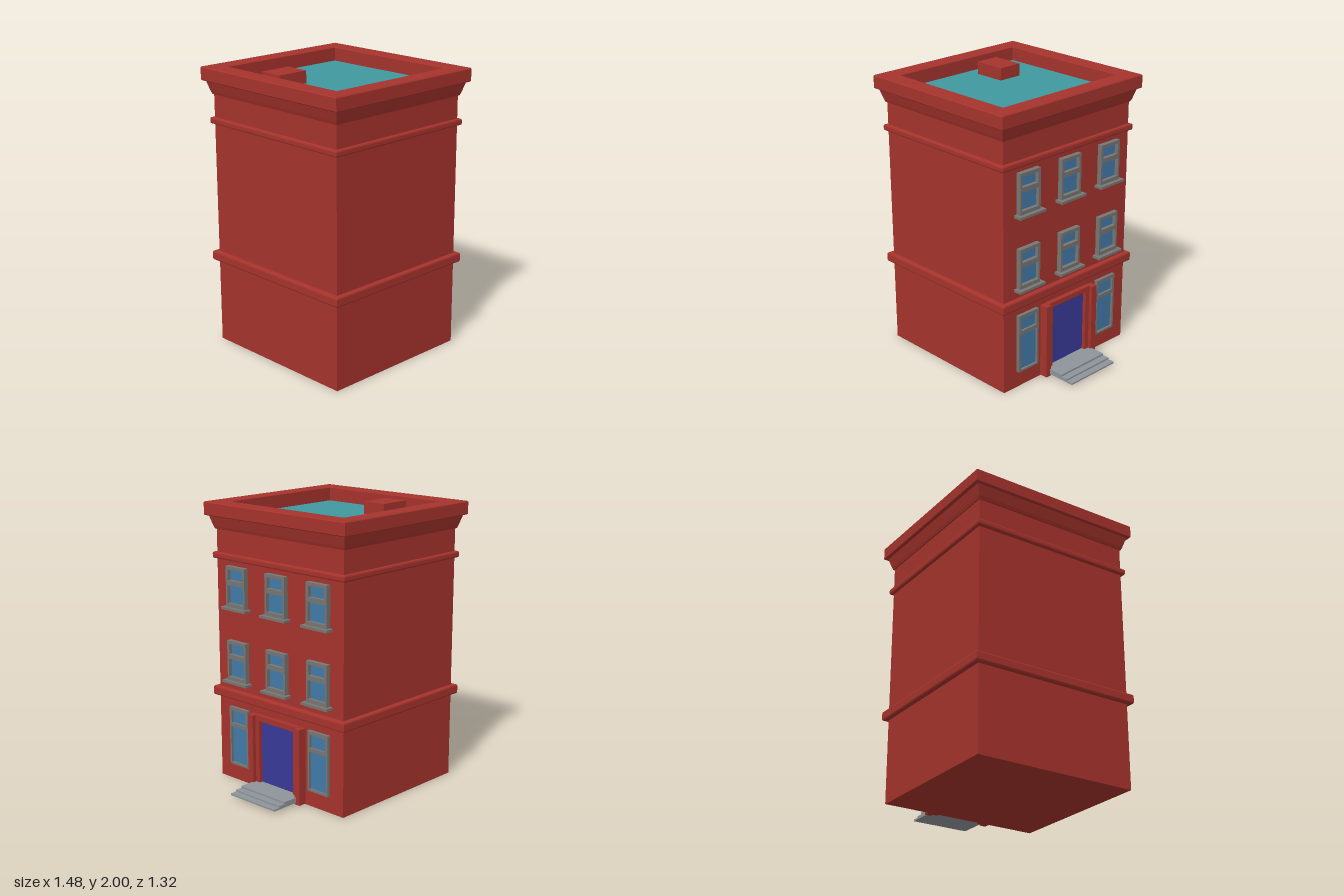
import * as THREE from 'three';

const CX = -0.1125; // centre of the tower in x
const HX = 0.5725, HZ = 0.597; // half sizes of the tower
const WALL = CX + HX; // x of the entrance wall

export function createModel() {
  const model = new THREE.Group();
  model.name = 'building';
  const mat = (name, color) => {
    const m = new THREE.MeshStandardMaterial({ color });
    m.name = name;
    return m;
  };
  const brick = mat('brick red', 0xa6332c);
  const teal = mat('roof teal', 0x40999f);
  const stone = mat('window stone', 0x787672);
  const glass = mat('window blue', 0x437aa8);
  const paint = mat('door blue', 0x383a98);
  const concrete = mat('step grey', 0x8f949b);

  const add = (parent, name, geometry, material) => {
    const m = new THREE.Mesh(geometry, material);
    m.name = name;
    parent.add(m);
    return m;
  };
  // Box given by its limits on each axis
  const box = (parent, name, material, x0, x1, y0, y1, z0, z1) => {
    const m = add(parent, name, new THREE.BoxGeometry(x1 - x0, y1 - y0, z1 - z0), material);
    m.position.set((x0 + x1) / 2, (y0 + y1) / 2, (z0 + z1) / 2);
    return m;
  };
  // Rectangular moulding: each profile point is [offset from wall, height]
  const moulding = (name, profile) => {
    const corners = [[1, 1], [1, -1], [-1, -1], [-1, 1]];
    const at = ([o, y], k) => {
      const [sx, sz] = corners[k % 4];
      return [CX + sx * (HX + o), y, sz * (HZ + o)];
    };
    const pos = [];
    for (let i = 0; i < profile.length - 1; i++) {
      for (let k = 0; k < 4; k++) {
        const a = at(profile[i], k), b = at(profile[i], k + 1);
        const c = at(profile[i + 1], k + 1), d = at(profile[i + 1], k);
        pos.push(...a, ...b, ...c, ...a, ...c, ...d);
      }
    }
    const g = new THREE.BufferGeometry();
    g.setAttribute('position', new THREE.Float32BufferAttribute(pos, 3));
    g.computeVertexNormals();
    return add(model, name, g, brick);
  };
  // String course with eased edges
  const course = (name, y0, y1, out) => {
    const e = 0.012;
    moulding(name, [[-0.01, y0], [out - e, y0], [out - e * 0.3, y0 + e * 0.3], [out, y0 + e],
      [out, y1 - e], [out - e * 0.3, y1 - e * 0.3], [out - e, y1], [-0.01, y1]]);
  };

  // Tower, string courses and flared cornice with sunken roof
  box(model, 'walls', brick, CX - HX, WALL, 0, 1.88, -HZ, HZ);
  course('lowerCourse', 0.608, 0.678, 0.034);
  course('upperCourse', 1.603, 1.65, 0.023);
  moulding('cornice', [[-0.01, 1.81], [0.008, 1.81], [0.016, 1.83], [0.038, 1.905],
    [0.056, 1.905], [0.061, 1.91], [0.061, 1.993], [0.055, 2], [-0.062, 2], [-0.067, 1.995], [-0.067, 1.89]]);
  box(model, 'roof', teal, CX - 0.507, CX + 0.507, 1.885, 1.9, -0.56, 0.56);
  box(model, 'roofBlock', brick, -0.527, -0.29, 1.89, 1.988, -0.28, -0.1);

  // Rectangle path in wall coordinates
  const rect = (path, x0, x1, y0, y1) => {
    path.moveTo(x0, y0);
    path.lineTo(x1, y0);
    path.lineTo(x1, y1);
    path.lineTo(x0, y1);
    path.closePath();
    return path;
  };
  // Sash window with two panes; heights are sill, lower pane, upper pane, head
  const addWindow = (z, [y0, a, b, c, d, y1], depth, sill) => {
    const win = new THREE.Group();
    win.name = 'window';
    const shape = rect(new THREE.Shape(), -0.093, 0.093, y0, y1);
    shape.holes.push(rect(new THREE.Path(), -0.078, 0.078, a, b));
    shape.holes.push(rect(new THREE.Path(), -0.072, 0.072, c, d));
    const frame = add(win, 'windowFrame',
      new THREE.ExtrudeGeometry(shape, { depth, bevelEnabled: false }), stone);
    frame.rotation.y = Math.PI / 2;
    frame.position.x = WALL;
    box(win, 'windowGlass', glass, WALL + 0.001, WALL + 0.008, a - 0.005, d + 0.005, -0.083, 0.083);
    if (sill) box(win, 'windowSill', stone, WALL, 0.524, y0 - 0.008, y0 + 0.01, -0.118, 0.118);
    win.position.z = z;
    model.add(win);
  };
  for (const z of [-0.385, 0, 0.385]) {
    for (const y of [0.742, 1.272]) {
      addWindow(z, [y, y + 0.035, y + 0.165, y + 0.198, y + 0.274, y + 0.297], 0.035, true);
    }
    if (z) addWindow(z, [0.12, 0.135, 0.405, 0.432, 0.525, 0.55], 0.025, false);
  }

  // Doorway: door, surround and flanking pilasters
  box(model, 'door', paint, WALL, WALL + 0.009, 0.03, 0.515, -0.17, 0.17);
  box(model, 'doorLintel', brick, WALL, 0.495, 0.512, 0.55, -0.205, 0.205);
  for (const s of [-1, 1]) {
    const post = (name, x, top, a, b) =>
      box(model, name, brick, WALL, x, 0.005, top, Math.min(s * a, s * b), Math.max(s * a, s * b));
    post('doorJamb', 0.495, 0.512, 0.165, 0.202);
    post('doorPilaster', 0.521, 0.548, 0.202, 0.25);
  }

  // Shallow entrance steps
  [[0.63, 0.042, 0.056], [0.68, 0.03, 0.042], [0.73, 0.018, 0.03]].forEach(([x, y0, y1], i) => {
    box(model, 'step' + (i + 1), concrete, WALL, x, y0, y1, -0.217, 0.213);
  });

  return model;
}
